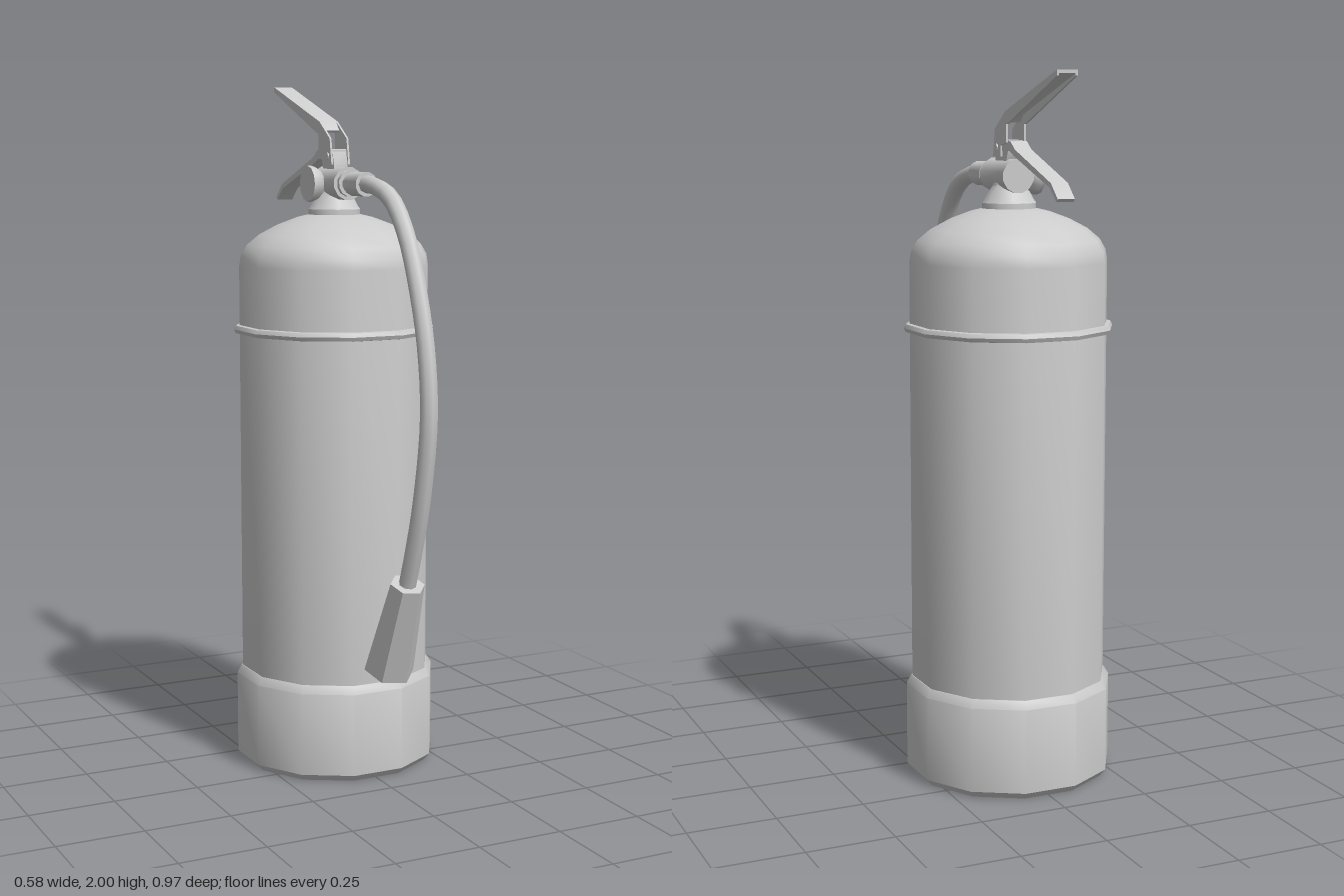
import * as THREE from 'three';
import { toCreasedNormals } from 'three/addons/utils/BufferGeometryUtils.js';

const material = new THREE.MeshStandardMaterial({ color: 0xcccccc, side: THREE.DoubleSide });
const AXIS_Z = -0.123; // centre line of the tank
const FLAT = 1 / Math.cos(Math.PI / 12); // apothem to corner radius for 12 sides
const v = (x, y, z) => new THREE.Vector3(x, y, z);

export function createModel() {
  const group = new THREE.Group();

  const add = (name, geometry, crease = 0.62) => {
    const mesh = new THREE.Mesh(toCreasedNormals(geometry, crease), material);
    mesh.name = name;
    group.add(mesh);
    return mesh;
  };

  // Twelve-sided turned part around the tank axis, with a flat facing front
  const turned = (name, profile) => {
    const points = profile.map(([r, y]) => new THREE.Vector2(r * FLAT, y));
    add(name, new THREE.LatheGeometry(points, 12, Math.PI / 12)).position.z = AXIS_Z;
  };

  // Turned part running from one point towards another; profile is [radius, distance]
  const turnedAlong = (name, from, to, profile, sides, phase = 0) => {
    const points = profile.map(([r, d]) => new THREE.Vector2(r, d));
    const mesh = add(name, new THREE.LatheGeometry(points, sides, phase));
    mesh.position.copy(from);
    mesh.quaternion.setFromUnitVectors(v(0, 1, 0), to.clone().sub(from).normalize());
  };

  // Side outline in [z, y], given a width across x
  const plate = (name, outline, width, x = 0) => {
    const shape = new THREE.Shape(outline.map(([z, y]) => new THREE.Vector2(-z, y)));
    const geometry = new THREE.ExtrudeGeometry(shape, { depth: width, bevelEnabled: false });
    geometry.translate(0, 0, -width / 2).rotateY(Math.PI / 2);
    add(name, geometry).position.x = x;
  };

  // Tank
  turned('baseSkirt', [
    [0, 0.03], [0.07, 0.03], [0.07, 0], [0.272, 0], [0.288, 0.02], [0.288, 0.262], [0.274, 0.285], [0.27, 0.285],
  ]);
  turned('tank', [
    [0.272, 0.25], [0.272, 1.48], [0.267, 1.51], [0.25, 1.54], [0.215, 1.57],
    [0.165, 1.597], [0.11, 1.618], [0.06, 1.63], [0, 1.632],
  ]);
  turned('band', [[0.27, 1.282], [0.283, 1.284], [0.288, 1.295], [0.283, 1.306], [0.27, 1.308]]);
  turned('neck', [
    [0.074, 1.615], [0.074, 1.642], [0.068, 1.65], [0.058, 1.67], [0.044, 1.69], [0.04, 1.715],
  ]);

  // Valve with hose coupling at the front
  turnedAlong('valve', v(0, 1.717, -0.185), v(0, 1.717, 0.1), [
    [0, 0], [0.048, 0], [0.048, 0.157], [0.038, 0.157], [0.038, 0.17], [0.027, 0.17], [0.027, 0.192],
    [0.035, 0.192], [0.035, 0.27], [0, 0.27],
  ], 12, Math.PI / 12);

  // Pressure gauge on the right side
  turnedAlong('gauge', v(0, 1.715, -0.135), v(-1, 1.715, -0.135), [
    [0.025, 0], [0.025, 0.035], [0.04, 0.045], [0.049, 0.058], [0.052, 0.07], [0.052, 0.081], [0, 0.081],
  ], 12);

  // Pivot block and upper lever, a channel open underneath
  plate('pivotBlock', [[-0.08, 1.755], [-0.08, 1.772], [-0.092, 1.815], [-0.165, 1.815], [-0.165, 1.79], [-0.15, 1.755]], 0.044);
  for (const side of [-1, 1]) {
    plate('leverSide', [
      [-0.08, 1.77], [-0.092, 1.845], [-0.16, 1.893], [-0.483, 2], [-0.483, 1.985],
      [-0.185, 1.863], [-0.168, 1.858], [-0.168, 1.808], [-0.13, 1.8], [-0.13, 1.77],
    ], 0.006, side * 0.027);
  }
  plate('leverTop', [[-0.14, 1.868], [-0.16, 1.893], [-0.483, 2], [-0.483, 1.991], [-0.163, 1.884], [-0.145, 1.862]], 0.056);
  turnedAlong('pivotPin', v(-0.034, 1.795, -0.105), v(1, 1.795, -0.105),
    [[0, 0], [0.01, 0], [0.01, 0.068], [0, 0.068]], 8);

  // Lower carrying handle with a bent tip
  plate('carryHandle', [
    [-0.09, 1.812], [-0.185, 1.812], [-0.215, 1.79], [-0.44, 1.708], [-0.482, 1.668],
    [-0.474, 1.66], [-0.434, 1.695], [-0.21, 1.772], [-0.18, 1.785], [-0.09, 1.785],
  ], 0.05);

  // Hose
  const path = new THREE.CatmullRomCurve3([
    v(0, 1.717, 0.07), v(0, 1.714, 0.13), v(0, 1.68, 0.235), v(0, 1.59, 0.32), v(0, 1.45, 0.388),
    v(0, 1.28, 0.44), v(0, 1.1, 0.457), v(0, 0.87, 0.42), v(0, 0.72, 0.376), v(0, 0.6, 0.333),
  ]);
  add('hose', new THREE.TubeGeometry(path, 28, 0.025, 8), 0.9);

  // Discharge horn, flared and six-sided
  turnedAlong('horn', v(0, 0.62, 0.341), v(0, 0.347, 0.23), [
    [0, 0], [0.05, 0], [0.073, 0.295], [0, 0.295],
  ], 6, 0.2 + Math.PI / 6);

  return group;
}
